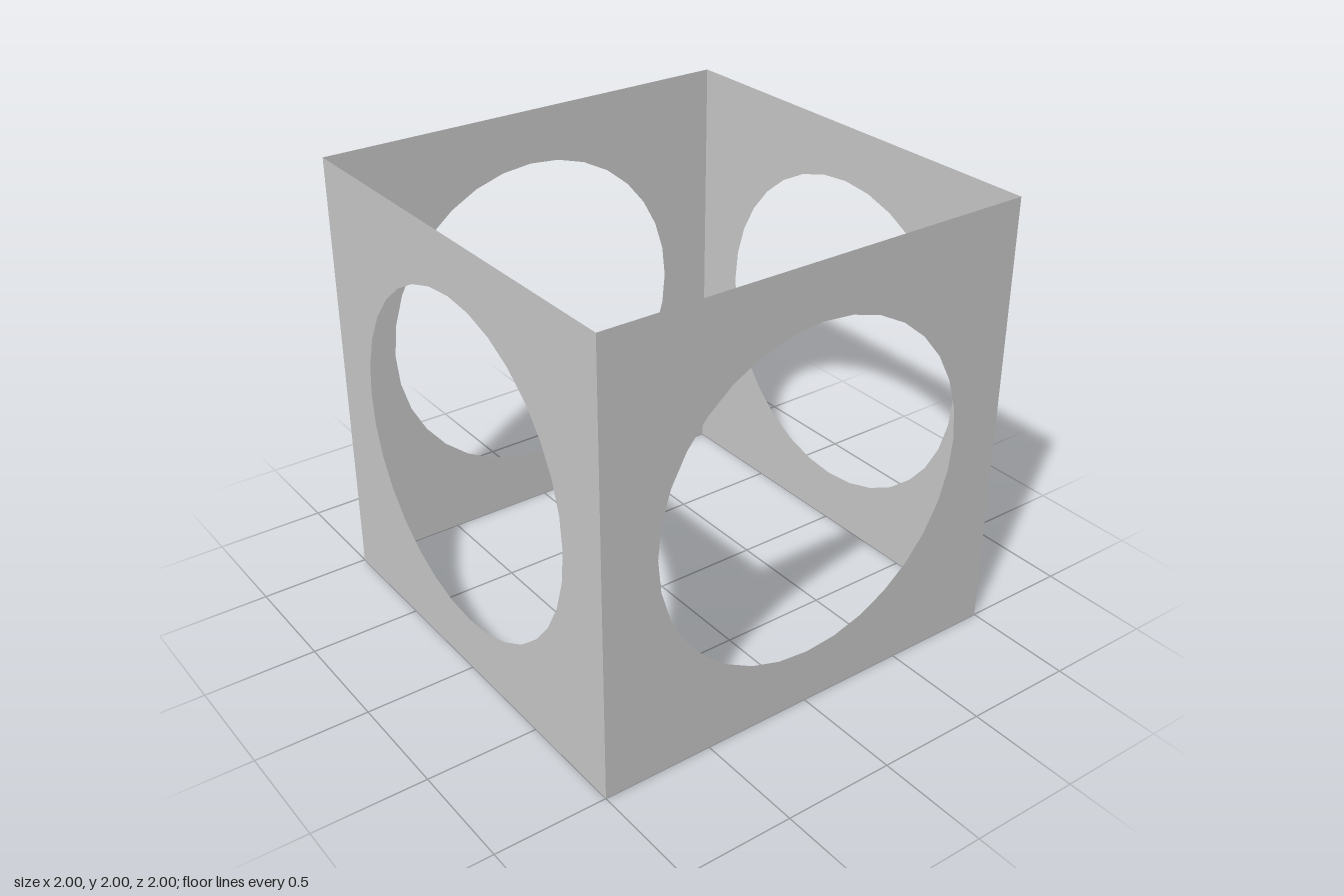
import * as THREE from 'three';

const HALF = 1;
const HOLE_RADIUS = 0.75;

// Square sheet with a 32-sided round opening, centred on its origin
function panelGeometry() {
  const shape = new THREE.Shape([
    new THREE.Vector2(-HALF, -HALF),
    new THREE.Vector2(HALF, -HALF),
    new THREE.Vector2(HALF, HALF),
    new THREE.Vector2(-HALF, HALF),
  ]);
  const hole = new THREE.Path();
  hole.absarc(0, 0, HOLE_RADIUS, 0, Math.PI * 2, true);
  shape.holes.push(hole);
  return new THREE.ShapeGeometry(shape, 16); // arcs get twice this many segments
}

export function createModel() {
  const group = new THREE.Group();
  group.name = 'openCube';
  const material = new THREE.MeshStandardMaterial({
    color: 0xcccccc, flatShading: true, side: THREE.DoubleSide,
  });
  const geometry = panelGeometry();

  // Four thin walls around an open top and bottom
  ['frontPanel', 'leftPanel', 'backPanel', 'rightPanel'].forEach((name, i) => {
    const angle = i * Math.PI / 2;
    const panel = new THREE.Mesh(geometry, material);
    panel.name = name;
    panel.rotation.y = angle;
    panel.position.set(HALF * Math.sin(angle), HALF, HALF * Math.cos(angle));
    group.add(panel);
  });
  return group;
}
